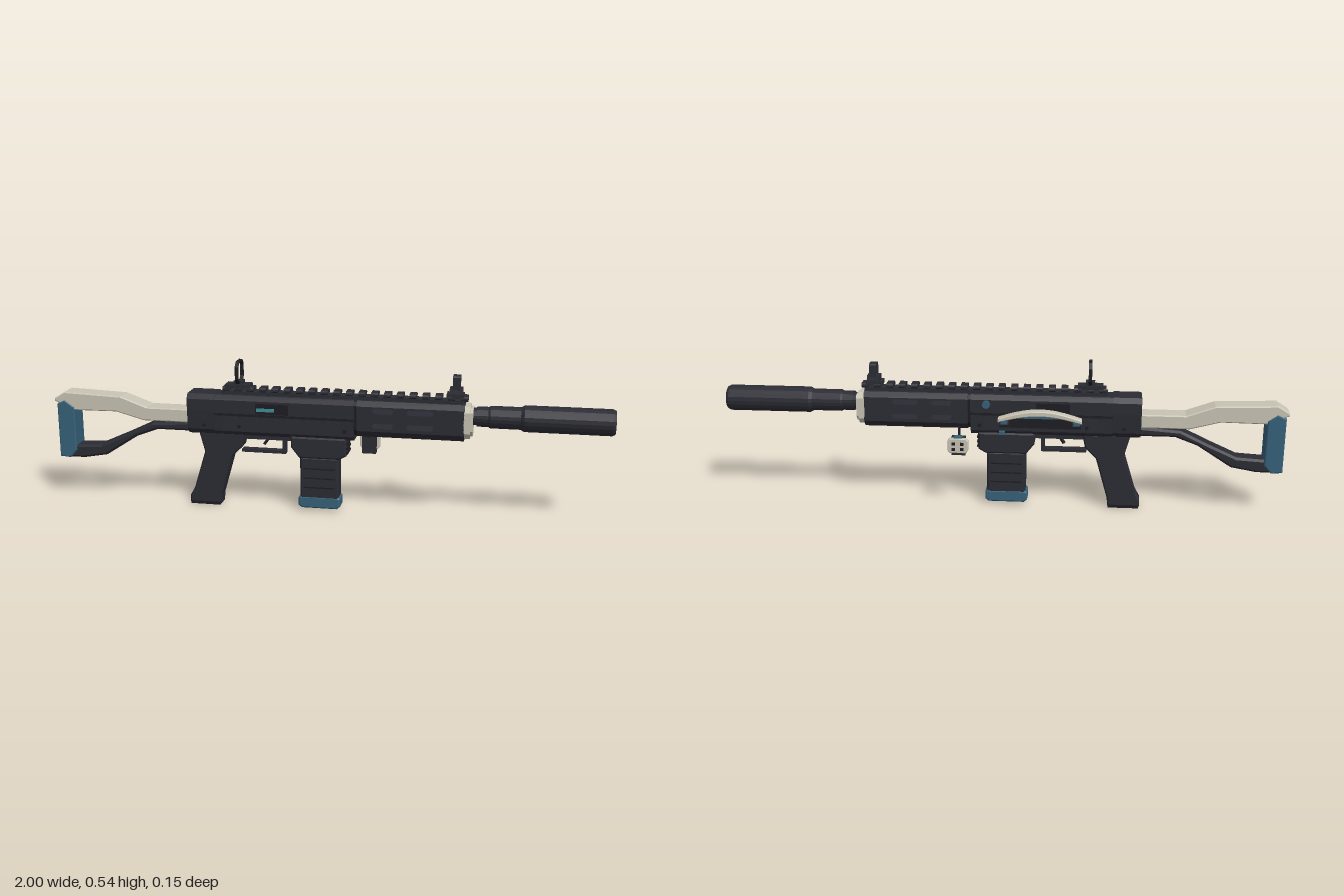
import * as THREE from 'three';

const mat = (name, color, side = THREE.FrontSide) => {
  const m = new THREE.MeshStandardMaterial({ color, side });
  m.name = name;
  return m;
};

export function createModel() {
  const dark = mat('charcoal', 0x2b2b34);
  const black = mat('black', 0x1c1c22);
  const cream = mat('cream', 0xc8c4b4);
  const blue = mat('steel blue', 0x36617a);
  const teal = mat('teal', 0x3f8f98);

  const root = new THREE.Group();
  root.name = 'rifle';
  const body = new THREE.Group();
  body.name = 'body';
  body.position.z = 0.0215; // centre line of the symmetric parts
  root.add(body);

  const add = (name, geo, m, x = 0, y = 0, z = 0) => {
    const mesh = new THREE.Mesh(geo, m);
    mesh.name = name;
    mesh.position.set(x, y, z);
    body.add(mesh);
    return mesh;
  };
  // box from its min and max corners
  const box = (name, m, x0, x1, y0, y1, z0, z1) =>
    add(name, new THREE.BoxGeometry(x1 - x0, y1 - y0, z1 - z0), m, (x0 + x1) / 2, (y0 + y1) / 2, (z0 + z1) / 2);
  const shapeOf = pts => new THREE.Shape(pts.map(p => new THREE.Vector2(p[0], p[1])));
  // side profile (x, y), thickened symmetrically with a chamfer
  const profile = (name, m, pts, half, bevel = 0.008, holes = []) => {
    const s = shapeOf(pts);
    holes.forEach(h => s.holes.push(new THREE.Path(h.map(p => new THREE.Vector2(p[0], p[1])))));
    const g = new THREE.ExtrudeGeometry(s, {
      depth: 2 * (half - bevel), bevelEnabled: bevel > 0, bevelSize: bevel,
      bevelThickness: bevel, bevelOffset: -bevel, bevelSegments: 1, curveSegments: 6,
    });
    g.translate(0, 0, bevel - half);
    return add(name, g, m);
  };
  // cross-section (z, y) swept along x; half profile is mirrored
  const sweepX = (name, m, right, x0, x1, holePts) => {
    const ring = p => [...p, ...p.map(([z, y]) => [-z, y]).reverse()];
    const s = shapeOf(ring(right));
    if (holePts) s.holes.push(new THREE.Path(ring(holePts).map(p => new THREE.Vector2(p[0], p[1]))));
    const g = new THREE.ExtrudeGeometry(s, { depth: x1 - x0, bevelEnabled: false });
    g.rotateY(Math.PI / 2);
    return add(name, g, m, x0);
  };

  // shoulder stock
  profile('stockUpper', cream, [[-1, 0.365], [-0.93, 0.333], [-0.765, 0.335], [-0.66, 0.307], [-0.48, 0.307],
    [-0.48, 0.356], [-0.645, 0.356], [-0.745, 0.392], [-0.96, 0.4], [-1, 0.375]], 0.037, 0.004);
  profile('stockPad', blue, [[-0.99, 0.155], [-0.95, 0.152], [-0.925, 0.18], [-0.925, 0.345], [-0.96, 0.37], [-0.99, 0.355]], 0.04, 0.004);
  profile('stockLower', dark, [[-0.95, 0.152], [-0.9, 0.152], [-0.81, 0.168], [-0.69, 0.245], [-0.61, 0.275], [-0.48, 0.275],
    [-0.48, 0.308], [-0.63, 0.298], [-0.73, 0.25], [-0.83, 0.205], [-0.95, 0.198]], 0.034, 0.008);

  // receiver
  sweepX('lowerReceiver', dark, [[0.03, 0.27], [0.043, 0.285], [0.046, 0.355]], -0.485, 0.112);
  sweepX('upperReceiver', dark, [[0.046, 0.345], [0.0505, 0.352], [0.0505, 0.4], [0.036, 0.416]], -0.485, 0.112);
  sweepX('receiverEndCap', dark, [[0.032, 0.272], [0.048, 0.29], [0.053, 0.36], [0.053, 0.4], [0.04, 0.418]], -0.49, -0.39);
  [1, -1].forEach(s => {
    const side = (name, m, x0, x1, y0, y1, t) => box(name, m, x0, x1, y0, y1, Math.min(s * 0.042, s * t), Math.max(s * 0.042, s * t));
    side('seam', black, -0.39, 0.112, 0.344, 0.351, 0.052);
    side('portRecess', black, -0.24, -0.12, 0.354, 0.392, 0.0515);
    side('lowerPanel', dark, -0.36, 0.06, 0.29, 0.335, 0.0475);
    for (const x of [-0.43, -0.3, 0.08]) {
      const pin = add('pin', new THREE.CylinderGeometry(0.007, 0.007, 0.005, 8), black, x, 0.305, s * 0.047);
      pin.rotation.x = Math.PI / 2;
    }
  });
  box('portBolt', teal, -0.235, -0.165, 0.364, 0.376, 0.05, 0.0535);
  box('portLatch', black, -0.17, -0.155, 0.358, 0.388, 0.05, 0.055);

  // handguard with through slots
  const slot = (x0, x1, y, r = 0.009) => [[x0, y], [x0 + r, y - r], [x1 - r, y - r], [x1, y], [x1 - r, y + r], [x0 + r, y + r]];
  const slots = [];
  for (const y of [0.33, 0.383]) slots.push(slot(0.175, 0.255, y), slot(0.295, 0.395, y));
  profile('handguard', dark, [[0.122, 0.31], [0.495, 0.31], [0.495, 0.398], [0.122, 0.398]], 0.046, 0, slots);
  sweepX('handguardTop', dark, [[0.046, 0.398], [0.032, 0.416]], 0.122, 0.495);
  sweepX('handguardBottom', dark, [[0.028, 0.287], [0.046, 0.31]], 0.122, 0.495);
  sweepX('handguardJoint', black, [[0.026, 0.29], [0.042, 0.312], [0.042, 0.398], [0.03, 0.412]], 0.11, 0.124);
  sweepX('frontCap', cream, [[0.028, 0.296], [0.046, 0.318], [0.046, 0.392], [0.03, 0.411]], 0.493, 0.515);
  sweepX('frontCapLip', cream, [[0.022, 0.305], [0.038, 0.325], [0.038, 0.39], [0.026, 0.403]], 0.515, 0.524);

  // barrel and muzzle tube, turned about the bore axis
  const lathe = pts => {
    const g = new THREE.LatheGeometry(pts.map(p => new THREE.Vector2(p[0], p[1])), 20).toNonIndexed();
    g.computeVertexNormals();
    g.rotateZ(-Math.PI / 2);
    return g;
  };
  add('barrel', lathe([[0, 0.49], [0.03, 0.49], [0.03, 0.535], [0.035, 0.535], [0.035, 0.58], [0, 0.58]]), dark, 0, 0.371);
  add('muzzleTube', lathe([[0, 0.575], [0.035, 0.575], [0.039, 0.582], [0.039, 0.685], [0.046, 0.697], [0.046, 0.99],
    [0.041, 1], [0.015, 1], [0.015, 0.975], [0, 0.975]]), dark, 0, 0.371);

  // top rail with teeth
  box('railBase', dark, -0.37, 0.495, 0.413, 0.428, -0.022, 0.022);
  for (let i = 0; i < 20; i++) {
    const x = -0.365 + i * 0.0445;
    sweepX('railTooth', dark, [[0.02, 0.426], [0.025, 0.432], [0.025, 0.438], [0.02, 0.443]], x, x + 0.024);
  }

  // rear ring sight
  box('rearSightBase', dark, -0.355, -0.265, 0.438, 0.452, -0.024, 0.024);
  box('rearSightFoot', dark, -0.325, -0.292, 0.45, 0.464, -0.018, 0.018);
  sweepX('rearSightRing', black, [[0.024, 0.455], [0.0395, 0.472], [0.0395, 0.518], [0.024, 0.536]], -0.314, -0.302,
    [[0.021, 0.461], [0.0335, 0.475], [0.0335, 0.515], [0.021, 0.53]]);

  // front post sight
  box('frontSightBase', dark, 0.43, 0.49, 0.435, 0.45, -0.024, 0.024);
  sweepX('frontSightBlock', dark, [[0.022, 0.445], [0.018, 0.47]], 0.44, 0.485);
  sweepX('frontSightFrame', dark, [[0.019, 0.465], [0.019, 0.508], [0.016, 0.513]], 0.45, 0.476,
    [[0.0145, 0.469], [0.0145, 0.507]]);
  add('frontSightPost', new THREE.ConeGeometry(0.005, 0.03, 8), blue, 0.463, 0.483);

  // magazine well, ribs, magazine and foot
  profile('magazineWell', dark, [[-0.115, 0.275], [-0.115, 0.235], [-0.085, 0.197], [0.06, 0.197], [0.085, 0.212], [0.085, 0.275]], 0.039, 0.006);
  for (let i = 0; i < 3; i++) box('wellRib', black, 0.07, 0.09, 0.218 + i * 0.017, 0.226 + i * 0.017, -0.034, 0.034);
  profile('magazine', dark, [[-0.083, 0.045], [0.056, 0.045], [0.056, 0.2], [-0.083, 0.2]], 0.033, 0.006);
  for (const y of [0.085, 0.12, 0.155]) box('magazineGroove', black, -0.07, 0.043, y, y + 0.005, -0.0338, 0.0338);
  profile('magazineFoot', blue, [[-0.09, 0.02], [-0.078, 0.01], [0.05, 0.01], [0.062, 0.02], [0.062, 0.048], [0.054, 0.054],
    [-0.082, 0.054], [-0.09, 0.046]], 0.034, 0.005);

  // open-frame grip
  profile('grip', dark, [[-0.495, 0.006], [-0.38, 0.006], [-0.378, 0.035], [-0.335, 0.185], [-0.295, 0.225], [-0.285, 0.275],
    [-0.455, 0.275], [-0.435, 0.2], [-0.478, 0.06], [-0.495, 0.03]], 0.031, 0.005,
  [[[-0.473, 0.057], [-0.403, 0.05], [-0.361, 0.2], [-0.415, 0.205], [-0.433, 0.17]]]);
  box('gripFoot', black, -0.492, -0.382, 0, 0.012, -0.031, 0.031);

  // trigger and guard
  box('guardBar', dark, -0.3, -0.14, 0.203, 0.213, -0.016, 0.016);
  box('guardPost', dark, -0.15, -0.138, 0.203, 0.275, -0.016, 0.016);
  box('guardRail', dark, -0.3, -0.11, 0.255, 0.273, -0.025, 0.025);
  profile('trigger', black, [[-0.225, 0.272], [-0.203, 0.272], [-0.203, 0.248], [-0.215, 0.23], [-0.224, 0.234], [-0.213, 0.25]], 0.009, 0.002);

  // arched handle on the rear face
  const arch = [];
  for (let i = 0; i <= 10; i++) arch.push([-0.283 + i * 0.0295, 0.342 + 0.03 * Math.sin(i / 10 * Math.PI)]);
  for (let i = 10; i >= 0; i--) arch.push([-0.283 + i * 0.0295, 0.328 + 0.025 * Math.sin(i / 10 * Math.PI)]);
  profile('sideHandle', cream, arch, 0.0165, 0.003).position.z = -0.0665;
  box('handleRecess', black, -0.28, 0.01, 0.3, 0.335, -0.05, -0.046);
  for (const x of [-0.265, -0.01]) {
    box('handleMount', dark, x - 0.017, x + 0.017, 0.319, 0.338, -0.08, -0.04);
    box('handleMountPlate', blue, x - 0.012, x + 0.012, 0.323, 0.334, -0.084, -0.079);
  }
  box('handleInsert', blue, -0.2, -0.06, 0.338, 0.346, -0.06, -0.048);

  // small controls on the rear face
  const stem = add('knobStem', new THREE.CylinderGeometry(0.008, 0.008, 0.015, 8), dark, 0.055, 0.387, -0.055);
  stem.rotation.x = Math.PI / 2;
  const knob = add('knob', new THREE.CylinderGeometry(0.014, 0.014, 0.011, 10), blue, 0.055, 0.387, -0.062);
  knob.rotation.x = Math.PI / 2;
  box('releaseButton', blue, -0.01, 0.01, 0.274, 0.286, -0.058, -0.038);

  // hanging charm
  box('charmHook', black, 0.149, 0.156, 0.262, 0.3, -0.056, -0.044);
  box('charmCore', dark, 0.128, 0.178, 0.201, 0.267, -0.078, -0.051);
  const shell = profile('charmShell', cream, [[0.117, 0.222], [0.125, 0.213], [0.182, 0.213], [0.19, 0.222], [0.19, 0.258],
    [0.182, 0.266], [0.125, 0.266], [0.117, 0.258]], 0.009, 0.002);
  shell.position.z = -0.083;
  box('charmTop', blue, 0.138, 0.168, 0.263, 0.27, -0.085, -0.06);
  for (const [x, y] of [[0.138, 0.248], [0.169, 0.248], [0.138, 0.228], [0.169, 0.228]]) {
    box('charmStud', black, x - 0.006, x + 0.006, y - 0.005, y + 0.005, -0.096, -0.09);
  }
  return root;
}
